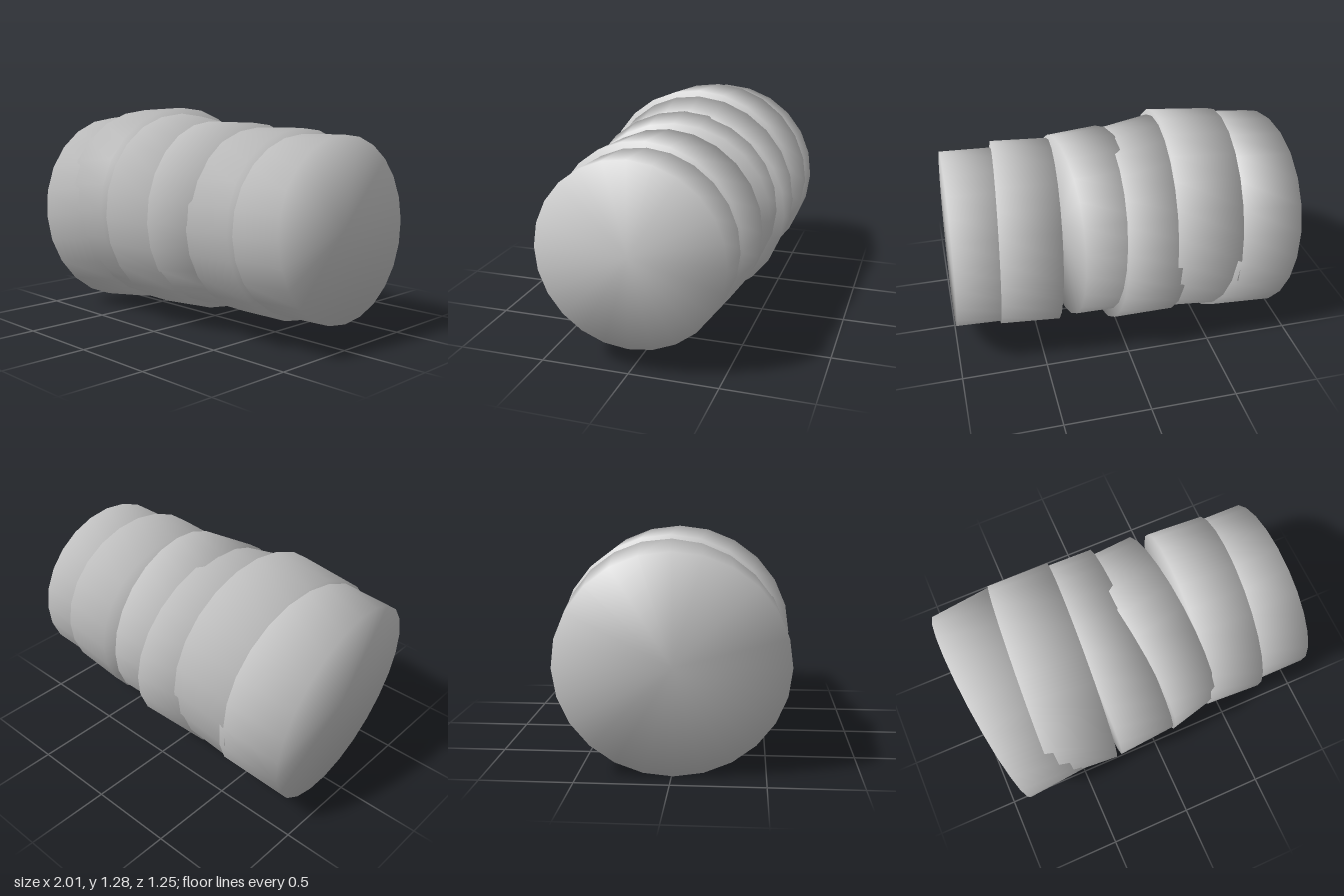
import * as THREE from 'three';
import { mergeVertices } from 'three/addons/utils/BufferGeometryUtils.js';

const SIDES = 24;
const material = new THREE.MeshStandardMaterial({ color: 0xcccccc });

// Each drum has two end rings, left then right:
// [centre x, y, z, radius in y, radius in z, x lean at the top, x lean at the front]
const DRUMS = [
  [[-0.935, 0.6, 0.01, 0.6, 0.615, -0.065, 0.045], [-0.555, 0.645, -0.015, 0.6, 0.615, -0.065, 0.045]],
  [[-0.665, 0.657, -0.02, 0.603, 0.61, -0.015, -0.04], [-0.285, 0.682, 0.003, 0.6, 0.622, -0.015, -0.035]],
  [[-0.295, 0.652, 0, 0.597, 0.615, -0.025, 0.01], [0.05, 0.635, -0.02, 0.56, 0.605, -0.045, 0.01]],
  [[-0.015, 0.655, 0.015, 0.55, 0.585, -0.02, 0.085], [0.315, 0.67, -0.03, 0.535, 0.56, -0.02, 0.045]],
  [[0.36, 0.643, -0.017, 0.538, 0.557, -0.02, -0.035], [0.697, 0.653, 0.005, 0.537, 0.555, -0.02, -0.04]],
  [[0.64, 0.645, -0.007, 0.51, 0.53, -0.018, -0.002], [0.98, 0.655, -0.003, 0.51, 0.527, -0.018, -0.002]],
];

// Closed drum lofted between two leaning rings, with normals smoothed over the rims
function makeDrum(left, right) {
  const unit = new THREE.CylinderGeometry(1, 1, 1, SIDES);
  unit.rotateZ(-Math.PI / 2);
  unit.deleteAttribute('normal');
  unit.deleteAttribute('uv');
  const geometry = mergeVertices(unit);
  const pos = geometry.attributes.position;
  for (let i = 0; i < pos.count; i++) {
    const [cx, cy, cz, ry, rz, up, front] = pos.getX(i) < 0 ? left : right;
    const y = pos.getY(i);
    const z = pos.getZ(i);
    pos.setXYZ(i, cx + up * y + front * z, cy + ry * y, cz + rz * z);
  }
  geometry.computeVertexNormals();
  return geometry;
}

export function createModel() {
  const group = new THREE.Group();
  group.name = 'segmentedBody';
  // Overlapping drums in a row, shrinking towards +x
  DRUMS.forEach(([left, right], i) => {
    const drum = new THREE.Mesh(makeDrum(left, right), material);
    drum.name = `drumSegment${i + 1}`;
    group.add(drum);
  });
  return group;
}
